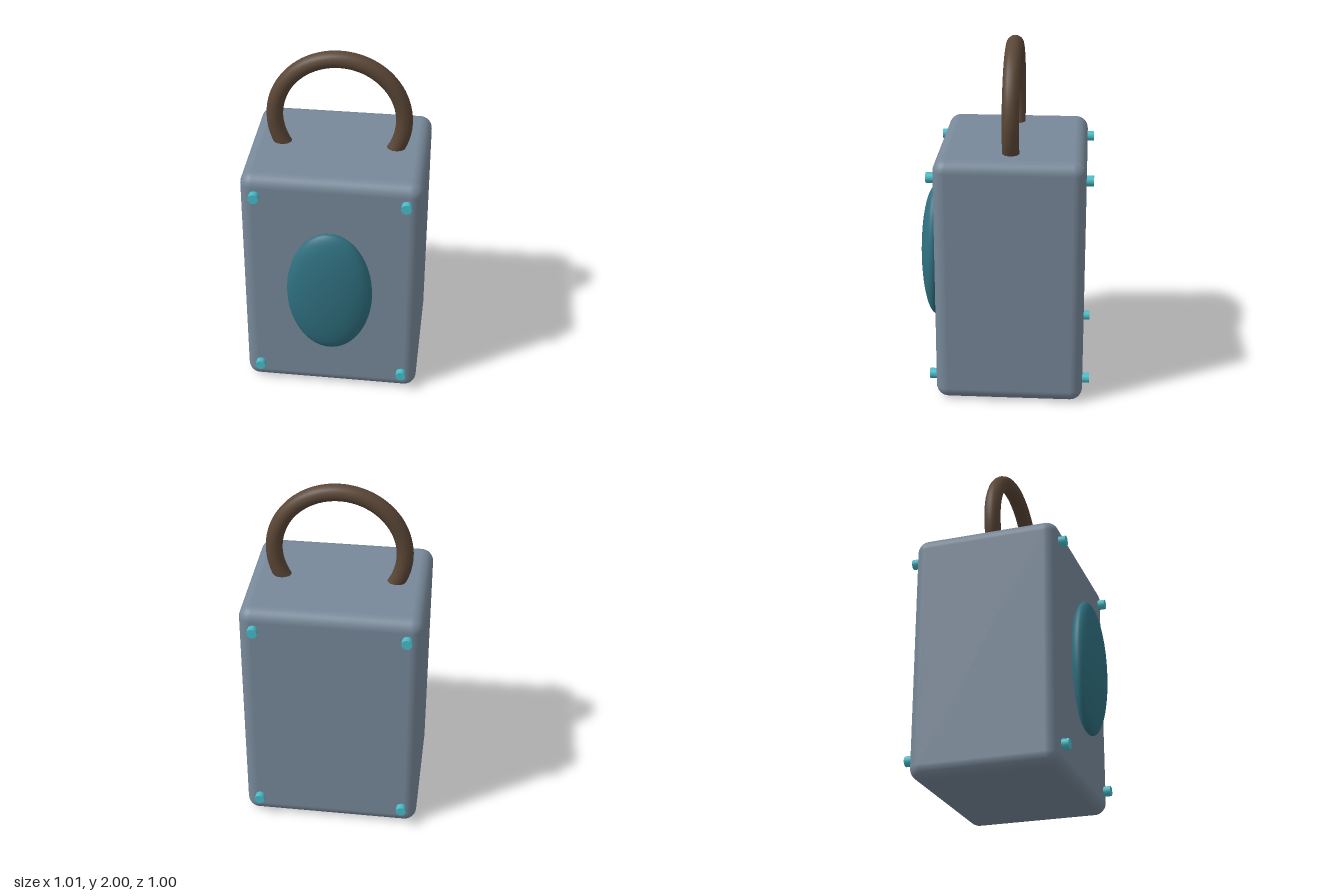
import * as THREE from 'three';
import { RoundedBoxGeometry } from 'three/addons/geometries/RoundedBoxGeometry.js';

const MID_Z = -0.045; // depth centre of the case

export function createModel() {
  const model = new THREE.Group();
  const add = (name, geometry, color, x, y, z) => {
    const mesh = new THREE.Mesh(geometry, new THREE.MeshStandardMaterial({ color }));
    mesh.name = name;
    mesh.position.set(x, y, z);
    model.add(mesh);
    return mesh;
  };

  // Rounded case
  add('case', new RoundedBoxGeometry(1.006, 1.425, 0.832, 5, 0.07), 0x778899, 0, 0.7125, MID_Z);

  // Ring handle: an arc whose ends sink into the top of the case
  const arc = Math.PI * 1.4;
  const ring = new THREE.TorusGeometry(0.363, 0.047, 16, 64, arc);
  ring.rotateZ(Math.PI / 2 - arc / 2);
  add('handle', ring, 0x5a4636, 0, 1.59, MID_Z);

  // Oval dome on the front
  const dome = new THREE.SphereGeometry(1, 48, 32);
  dome.scale(0.242, 0.398, 0.085);
  add('frontDome', dome, 0x2f7080, 0, 0.718, 0.41);

  // Corner rivets running out of the front and back
  const rivet = new THREE.CylinderGeometry(0.029, 0.029, 0.08, 16);
  rivet.rotateX(Math.PI / 2);
  for (const [side, z] of [['front', 0.37], ['back', -0.46]])
    for (const x of [-0.418, 0.418])
      for (const y of [0.125, 1.31])
        add(side + 'Rivet', rivet, 0x48bcc8, x, y, z);

  return model;
}
